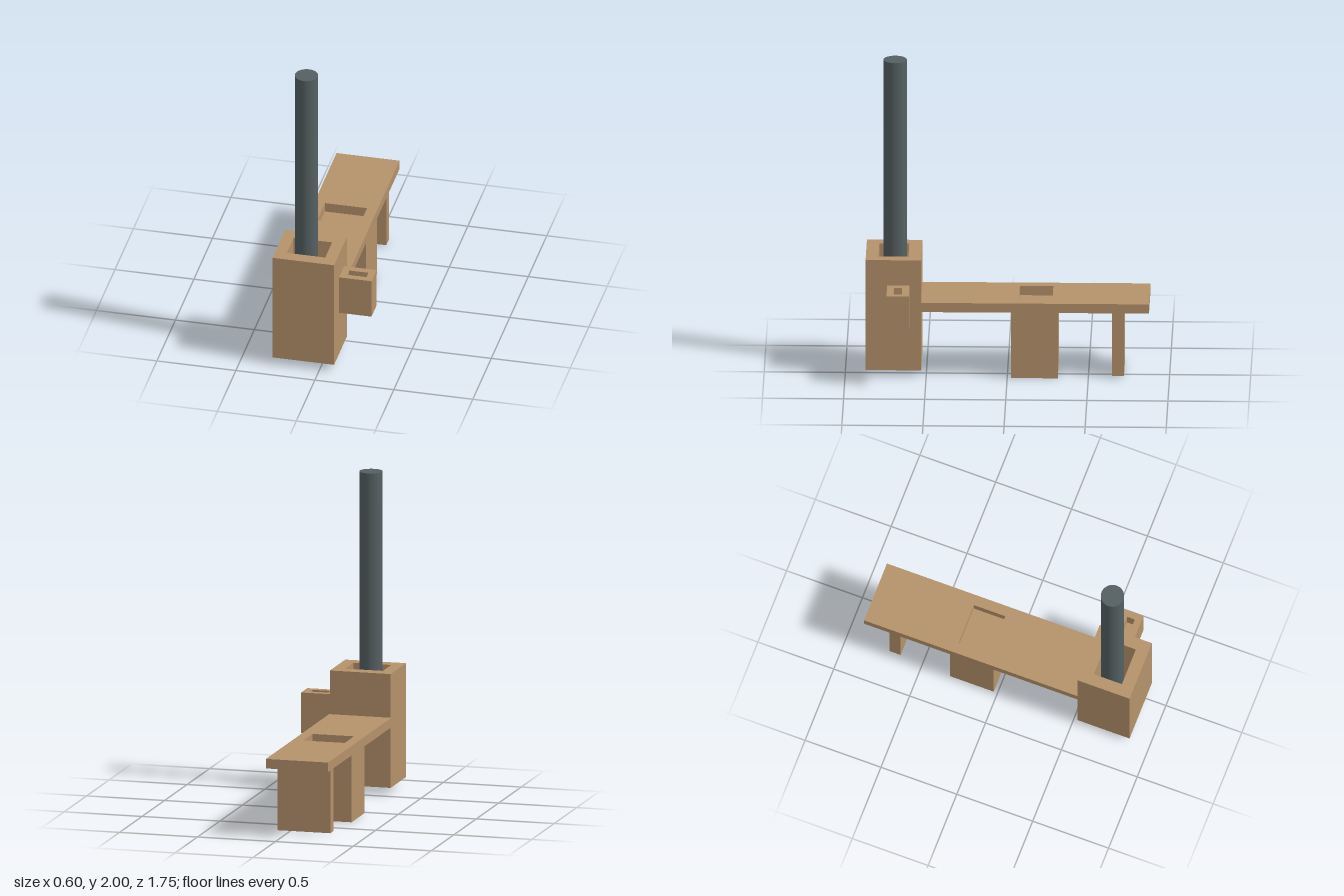
import * as THREE from 'three';

const wood = new THREE.MeshStandardMaterial({ color: 0xb5926b });
wood.name = 'wood';
const steel = new THREE.MeshStandardMaterial({ color: 0x556062 });
steel.name = 'dark steel';

// Rectangle corners in plan; plan y is -z
const corners = ([x0, x1, z0, z1]) => [
  new THREE.Vector2(x0, -z1), new THREE.Vector2(x1, -z1),
  new THREE.Vector2(x1, -z0), new THREE.Vector2(x0, -z0),
];

// Upright block from y0 to y1 over a plan rectangle, with an optional hole through it
function block(name, plan, y0, y1, hole) {
  const shape = new THREE.Shape(corners(plan));
  if (hole) shape.holes.push(new THREE.Path(corners(hole).reverse()));
  const geometry = new THREE.ExtrudeGeometry(shape, { depth: y1 - y0, bevelEnabled: false });
  geometry.rotateX(-Math.PI / 2).translate(0, y0, 0);
  const mesh = new THREE.Mesh(geometry, wood);
  mesh.name = name;
  return mesh;
}

export function createModel() {
  const model = new THREE.Group();
  model.name = 'benchWithPole';

  // Hollow tower, open at top and bottom
  model.add(block('tower', [-0.298, 0.092, 0.53, 0.873], 0.048, 0.765, [-0.225, 0.018, 0.61, 0.795]));

  // Bench board; its hole is floored by the middle support
  model.add(block('benchTop', [-0.302, 0.097, -0.875, 0.53], 0.43, 0.49, [-0.236, 0.031, -0.278, -0.071]));
  model.add(block('middleSupport', [-0.29, 0.085, -0.312, -0.025], 0, 0.43));
  model.add(block('rearLeg', [-0.272, 0.067, -0.72, -0.645], 0.012, 0.43));

  // Side pocket: solid base with a recessed rim
  const pocket = new THREE.Group();
  pocket.name = 'sidePocket';
  const plan = [0.092, 0.298, 0.602, 0.74];
  pocket.add(block('pocketBase', plan, 0.345, 0.5));
  pocket.add(block('pocketRim', plan, 0.5, 0.6, [0.135, 0.256, 0.646, 0.698]));
  model.add(pocket);

  // Pole standing free inside the tower
  const pole = new THREE.Mesh(new THREE.CylinderGeometry(0.072, 0.072, 1.965, 48), steel);
  pole.name = 'pole';
  pole.position.set(-0.124, 0.035 + 1.965 / 2, 0.695);
  model.add(pole);

  return model;
}
